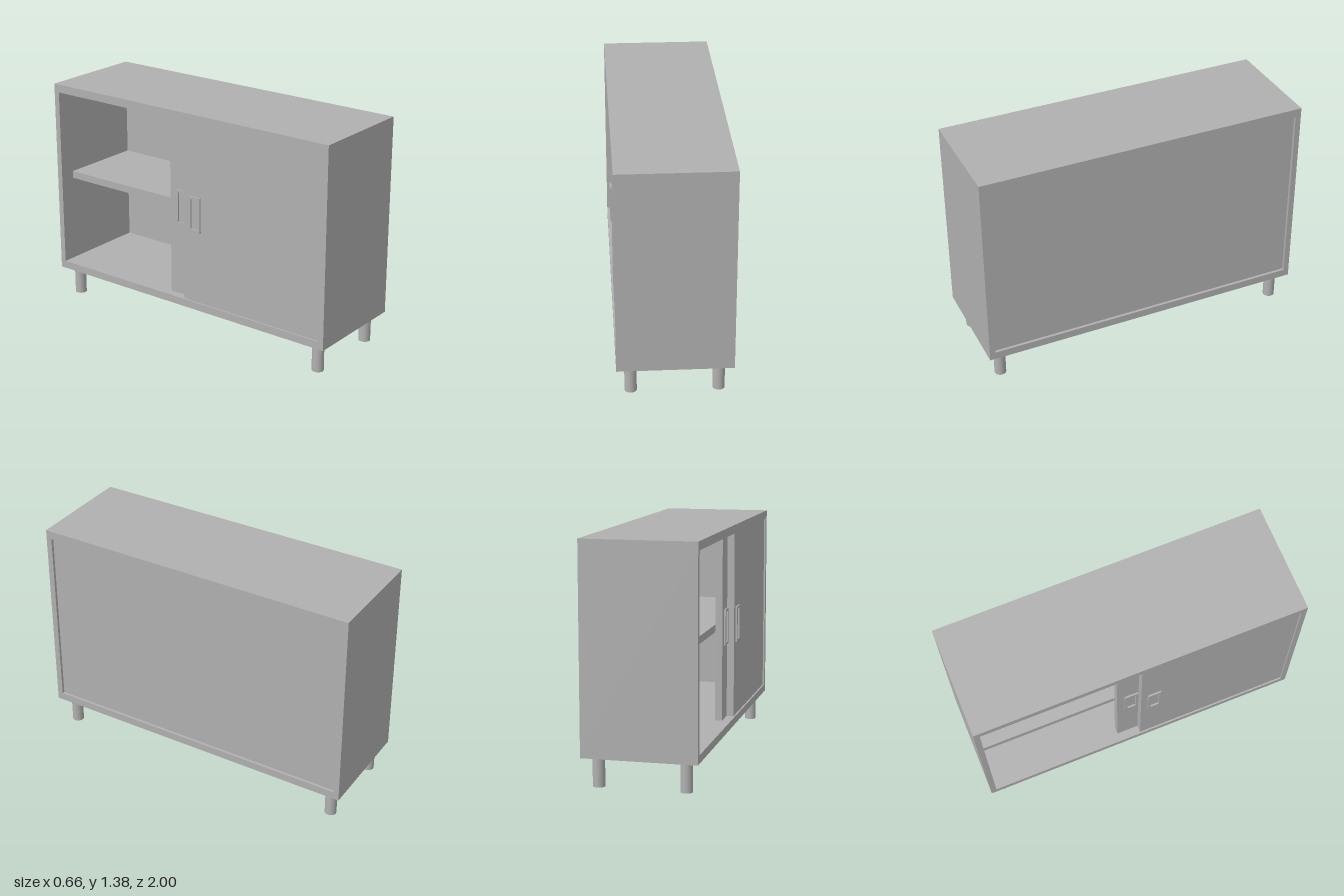
import * as THREE from 'three';

export function createModel() {
  const model = new THREE.Group();
  model.name = 'slidingDoorCabinet';
  const grey = new THREE.MeshStandardMaterial({ name: 'plain grey', color: 0xb0b0b0 });

  const X = 0.332, Z = 1, SIDE = 0.035;        // half depth, half length, end panel thickness
  const FLOOR = 0.222, CEIL = 1.335, MID = (FLOOR + CEIL) / 2;

  const add = (name, geometry, parent = model) => {
    const mesh = new THREE.Mesh(geometry, grey);
    mesh.name = name;
    parent.add(mesh);
    return mesh;
  };
  // Box given by its limits on each axis
  const box = (name, [x0, x1], [y0, y1], [z0, z1], parent) => {
    const mesh = add(name, new THREE.BoxGeometry(x1 - x0, y1 - y0, z1 - z0), parent);
    mesh.position.set((x0 + x1) / 2, (y0 + y1) / 2, (z0 + z1) / 2);
    return mesh;
  };

  // Carcass
  box('topBoard', [-X, X], [CEIL, 1.385], [-Z, Z]);
  box('bottomBoard', [-X, X], [0.175, FLOOR], [-Z, Z]);
  for (const s of [-1, 1]) {
    const inner = s * (Z - SIDE), outer = s * Z;
    box('endPanel', [-X, X], [FLOOR, CEIL], [Math.min(inner, outer), Math.max(inner, outer)]);
  }
  box('backPanel', [0.29, 0.315], [FLOOR, CEIL], [-Z + SIDE, Z - SIDE]);
  box('shelf', [-0.235, 0.29], [MID - 0.0225, MID + 0.0225], [-Z + SIDE, Z - SIDE]);

  // Rectangular pull: a thin raised frame
  const pullShape = new THREE.Shape();
  const rect = (path, w, h) => path.moveTo(-w, -h).lineTo(w, -h).lineTo(w, h).lineTo(-w, h).closePath();
  rect(pullShape, 0.042, 0.108);
  const hole = new THREE.Path();
  rect(hole, 0.026, 0.092);
  pullShape.holes.push(hole);
  const pullGeometry = new THREE.ExtrudeGeometry(pullShape, { depth: 0.01, bevelEnabled: false });
  pullGeometry.rotateY(-Math.PI / 2);

  // Two sliding doors on parallel tracks
  const door = (name, xFront, z0, z1, pullZ) => {
    const group = new THREE.Group();
    group.name = name;
    model.add(group);
    box('doorPanel', [xFront, xFront + 0.043], [FLOOR, CEIL], [z0, z1], group);
    add('doorPull', pullGeometry, group).position.set(xFront, MID, pullZ);
  };
  door('outerDoor', -0.322, 0, Z - SIDE, 0.083);
  door('innerDoor', -0.279, -0.135, 0.83, -0.046);

  // Legs: four corners and one in the centre
  const legGeometry = new THREE.CylinderGeometry(0.035, 0.035, 0.175, 32);
  for (const [x, z] of [[-0.25, -0.915], [0.25, -0.915], [0, 0], [-0.25, 0.915], [0.25, 0.915]]) {
    add('leg', legGeometry).position.set(x, 0.0875, z);
  }
  return model;
}
